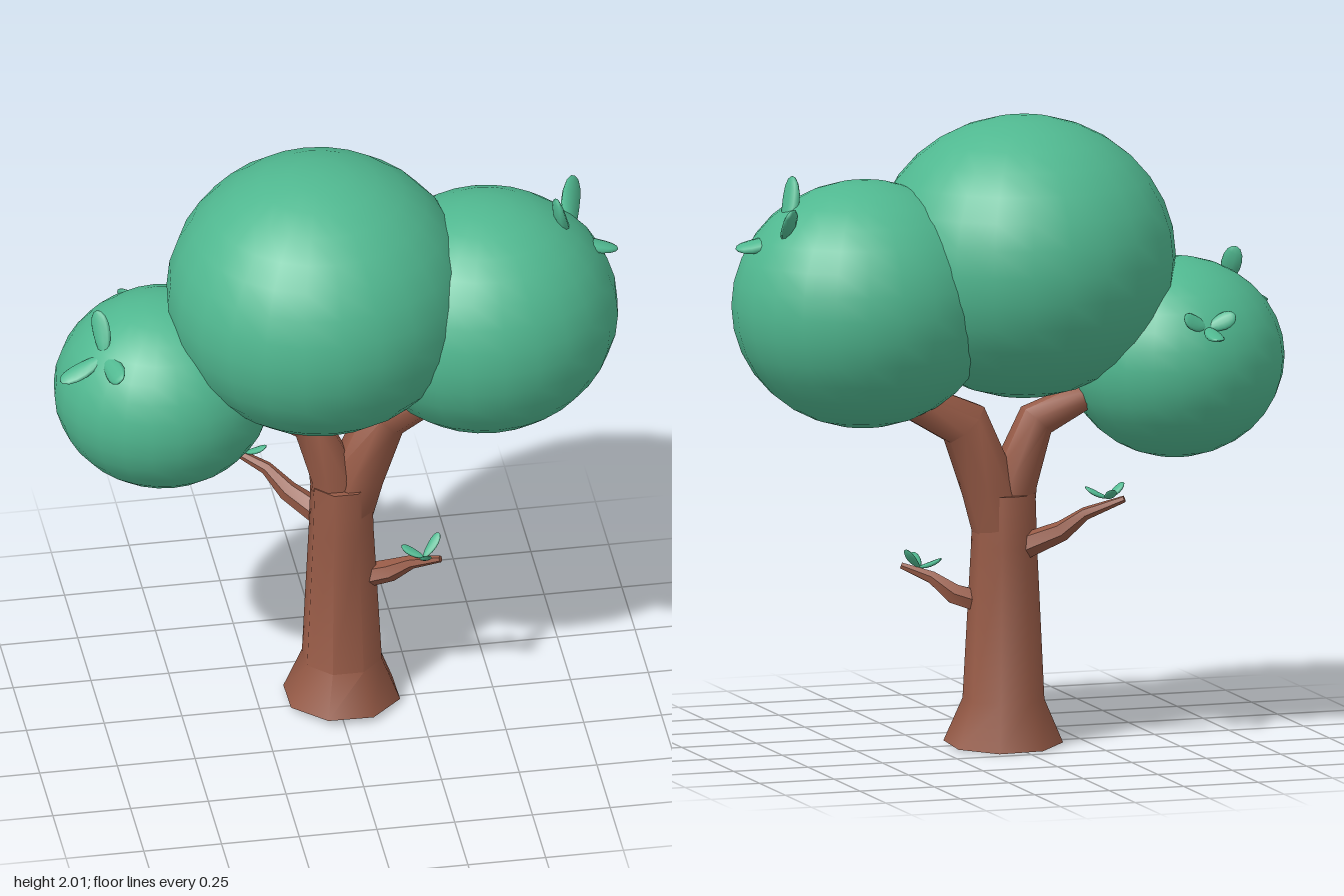
import * as THREE from 'three';
import { mergeVertices, toCreasedNormals } from 'three/addons/utils/BufferGeometryUtils.js';

const bark = new THREE.MeshStandardMaterial({ color: 0x965a46 });
const foliage = new THREE.MeshStandardMaterial({ color: 0x50b890 });
const V = (p) => new THREE.Vector3(...p);

// Lofts a capped, faceted limb along rows of [x, y, z, radius].
function limb(name, rows, sides) {
  const pts = rows.map((r) => V(r));
  const pos = [], idx = [];
  const n = pts.length;
  pts.forEach((p, i) => {
    const t = pts[Math.min(i + 1, n - 1)].clone().sub(pts[Math.max(i - 1, 0)]).normalize();
    const u = new THREE.Vector3().crossVectors(t, new THREE.Vector3(0, 0, 1)).normalize();
    const w = new THREE.Vector3().crossVectors(u, t);
    for (let j = 0; j < sides; j++) {
      const a = ((j + 0.5) / sides) * Math.PI * 2;
      const q = p.clone()
        .addScaledVector(u, Math.cos(a) * rows[i][3])
        .addScaledVector(w, Math.sin(a) * rows[i][3]);
      pos.push(q.x, q.y, q.z);
      if (i < n - 1) {
        const k = (j + 1) % sides, b = i * sides;
        idx.push(b + j, b + sides + j, b + k, b + k, b + sides + j, b + sides + k);
      }
    }
  });
  // End caps
  for (let j = 1; j < sides - 1; j++) {
    const e = (n - 1) * sides;
    idx.push(0, j, j + 1, e, e + j + 1, e + j);
  }
  const geo = new THREE.BufferGeometry();
  geo.setAttribute('position', new THREE.Float32BufferAttribute(pos, 3));
  geo.setIndex(idx);
  const mesh = new THREE.Mesh(toCreasedNormals(geo, 0.85), bark);
  mesh.name = name;
  return mesh;
}

// Smooth, slightly squashed crown ball
function crown(name, centre, radii) {
  const mesh = new THREE.Mesh(new THREE.SphereGeometry(1, 24, 16), foliage);
  mesh.name = name;
  mesh.position.set(...centre);
  mesh.scale.set(...radii);
  return mesh;
}

// Unit leaf from y = 0 to y = 1: narrow stem, thin blade, slight backward curl
function leafGeometry() {
  const geo = new THREE.SphereGeometry(0.5, 10, 8);
  const p = geo.attributes.position;
  for (let i = 0; i < p.count; i++) {
    const y = p.getY(i) + 0.5;
    p.setXYZ(i, p.getX(i) * (0.75 + 0.4 * y), y, p.getZ(i) * 0.4 - 0.1 * Math.sin(Math.PI * y));
  }
  geo.deleteAttribute('uv');
  geo.deleteAttribute('normal');
  const merged = mergeVertices(geo);
  merged.computeVertexNormals();
  return merged;
}

// Leaves fanning out of one base point towards each tip
function leafCluster(name, base, tips, out, width, geo) {
  const group = new THREE.Group();
  group.name = name;
  tips.forEach((tip) => {
    const dir = V(tip).sub(V(base));
    const length = dir.length();
    dir.normalize();
    const normal = V(out).normalize().addScaledVector(dir, -V(out).normalize().dot(dir)).normalize();
    const side = new THREE.Vector3().crossVectors(dir, normal);
    const leaf = new THREE.Mesh(geo, foliage);
    leaf.name = 'leaf';
    leaf.quaternion.setFromRotationMatrix(new THREE.Matrix4().makeBasis(side, dir, normal));
    leaf.position.set(...base);
    leaf.scale.set(width, length, width);
    group.add(leaf);
  });
  return group;
}

export function createModel() {
  const tree = new THREE.Group();
  tree.name = 'tree';

  // Flared trunk, two forking boughs and two twigs
  tree.add(
    limb('trunk', [
      [0.02, 0, -0.035, 0.19], [0.022, 0.14, -0.043, 0.13],
      [0.02, 0.63, -0.043, 0.105], [0.02, 0.8, -0.043, 0.1],
    ], 8),
    limb('leftBough', [
      [0.01, 0.72, -0.045, 0.085], [-0.01, 0.84, -0.045, 0.078],
      [-0.085, 1.03, -0.05, 0.063], [-0.26, 1.11, -0.06, 0.045],
    ], 8),
    limb('rightBough', [
      [0.035, 0.7, -0.045, 0.092], [0.07, 0.82, -0.045, 0.09],
      [0.155, 1.03, -0.045, 0.085], [0.38, 1.14, -0.045, 0.06],
    ], 8),
    limb('rightTwig', [
      [0.06, 0.44, -0.02, 0.04], [0.17, 0.475, 0.01, 0.036],
      [0.23, 0.525, 0.05, 0.022], [0.315, 0.56, 0.1, 0.011],
    ], 6),
    limb('leftTwig', [
      [-0.03, 0.635, -0.1, 0.042], [-0.13, 0.69, -0.175, 0.033],
      [-0.19, 0.75, -0.225, 0.021], [-0.3, 0.8, -0.285, 0.011],
    ], 6),
  );

  // Three overlapping crown balls
  tree.add(
    crown('middleCrown', [-0.06, 1.55, 0], [0.485, 0.45, 0.48]),
    crown('rightCrown', [0.475, 1.425, 0], [0.425, 0.395, 0.392]),
    crown('leftCrown', [-0.55, 1.21, -0.055], [0.35, 0.32, 0.335]),
  );

  // Leaf sprigs on the crowns and twigs
  const leaf = leafGeometry();
  tree.add(
    leafCluster('rightCrownLeaves', [0.75, 1.66, -0.02],
      [[0.7, 1.84, 0.05], [0.8, 1.76, -0.21], [0.9, 1.62, 0.02]], [0.7, 0.6, 0], 0.09, leaf),
    leafCluster('leftCrownLeaves', [-0.76, 1.42, 0.06],
      [[-0.905, 1.35, 0.075], [-0.77, 1.545, -0.02], [-0.73, 1.41, 0.2]], [-0.6, 0.7, 0.3], 0.07, leaf),
    leafCluster('backCrownLeaves', [-0.56, 1.345, -0.345],
      [[-0.56, 1.32, -0.455], [-0.645, 1.385, -0.365], [-0.475, 1.385, -0.36]], [0, 0.6, -0.8], 0.06, leaf),
    leafCluster('rightTwigLeaves', [0.265, 0.555, 0.075],
      [[0.32, 0.62, 0.04], [0.2, 0.585, 0.04], [0.265, 0.595, 0.135]], [0, 1, 0], 0.04, leaf),
    leafCluster('leftTwigLeaves', [-0.255, 0.8, -0.25],
      [[-0.315, 0.845, -0.23], [-0.19, 0.835, -0.22], [-0.25, 0.835, -0.315]], [0, 1, 0], 0.04, leaf),
  );
  return tree;
}
